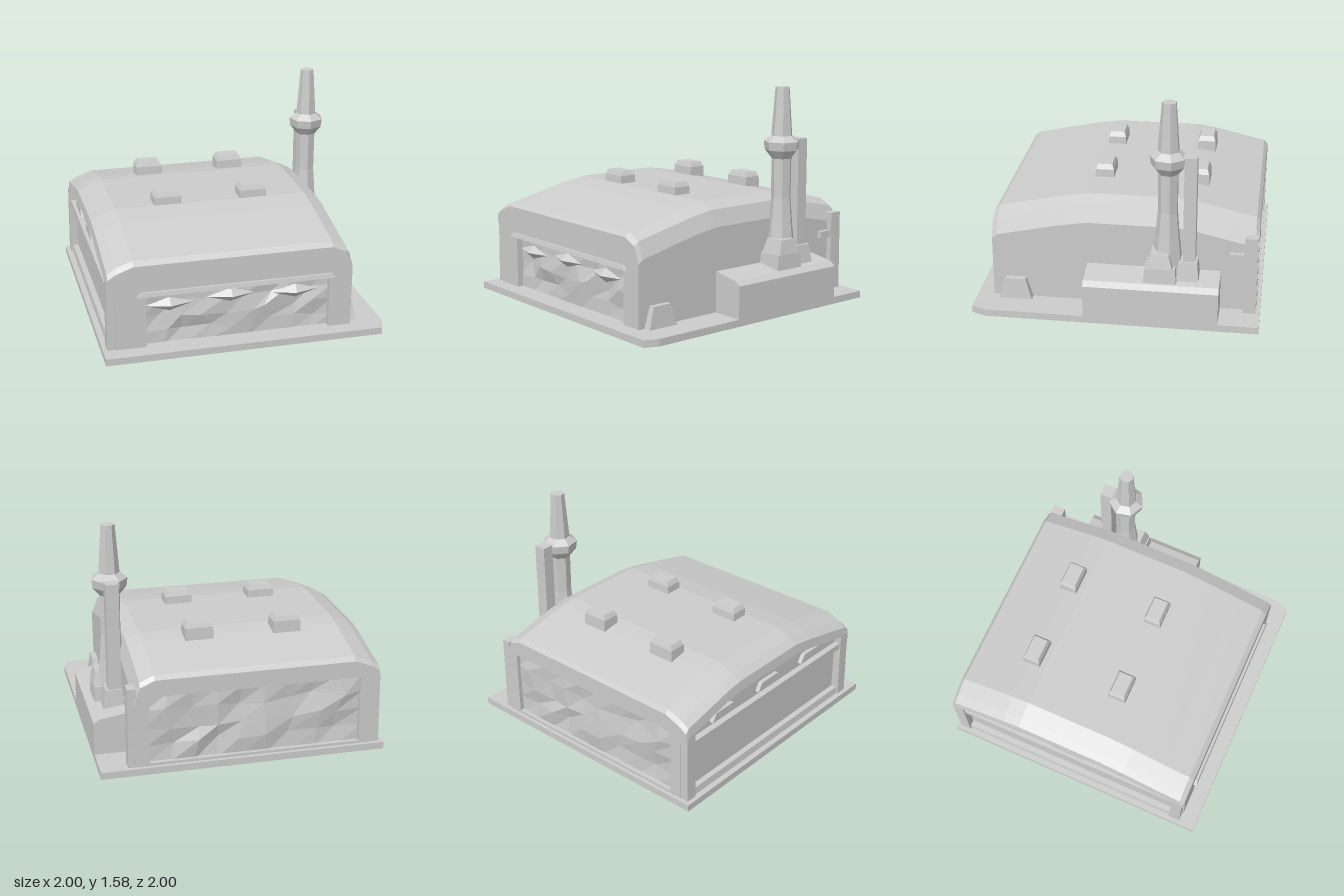
import * as THREE from 'three';

const stone = new THREE.MeshStandardMaterial({ color: 0xcccccc, flatShading: true, side: THREE.DoubleSide });
stone.name = 'pale grey';

// Outline of the hall at roof height t, from lower left over the roof to lower right
const section = t => [
  [-0.91, 0.03], [-0.91, t - 0.18], [-0.965, t - 0.15], [-0.955, t - 0.08], [-0.9, t - 0.045],
  [-0.78, t], [0.62, t], [0.72, t - 0.045], [0.765, t - 0.16], [0.762, 0.03],
];
// Roof height along z, from back to front
const roofLine = [
  [-0.975, 0.67], [-0.95, 0.7], [-0.75, 0.745], [-0.55, 0.79], [-0.42, 0.81], [0.22, 0.81],
  [0.4, 0.78], [0.65, 0.725], [0.85, 0.68], [0.885, 0.65],
];

function loft(sections) {
  const n = sections[0].length, pos = sections.flat(2), index = [];
  for (let i = 0; i < sections.length - 1; i++) {
    for (let j = 0; j < n - 1; j++) {
      const a = i * n + j, b = a + 1, d = a + n, c = d + 1;
      index.push(a, d, b, b, d, c);
    }
  }
  const g = new THREE.BufferGeometry();
  g.setAttribute('position', new THREE.Float32BufferAttribute(pos, 3));
  g.setIndex(index);
  g.computeVertexNormals();
  return g;
}

// Box between two corners, its top narrowed by factors tx and tz
function block(x0, x1, y0, y1, z0, z1, tx = 1, tz = 1) {
  const g = new THREE.BoxGeometry(x1 - x0, y1 - y0, z1 - z0);
  const p = g.attributes.position;
  for (let i = 0; i < p.count; i++) {
    if (p.getY(i) > 0) p.setXYZ(i, p.getX(i) * tx, p.getY(i), p.getZ(i) * tz);
  }
  g.translate((x0 + x1) / 2, (y0 + y1) / 2, (z0 + z1) / 2);
  g.computeVertexNormals();
  return g;
}

// End wall with a rectangular recess
function endFrame(t, z, depth, x0, x1, y0, y1) {
  const s = new THREE.Shape(section(t).map(([x, y]) => new THREE.Vector2(x, y)));
  s.holes.push(new THREE.Path([[x0, y0], [x1, y0], [x1, y1], [x0, y1]].map(p => new THREE.Vector2(...p))));
  return new THREE.ExtrudeGeometry(s, { depth, bevelEnabled: false }).translate(0, 0, z);
}

// Rough wall panel with uneven facets
function roughPanel(w, h, nx, ny, amount, seed) {
  const rnd = () => ((seed = (seed * 16807) % 2147483647) / 2147483647) - 0.5;
  const g = new THREE.PlaneGeometry(w, h, nx, ny), p = g.attributes.position;
  for (let i = 0; i < p.count; i++) {
    const inside = Math.abs(p.getX(i)) < w / 2 - 0.01 && Math.abs(p.getY(i)) < h / 2 - 0.01;
    if (inside) p.setXYZ(i, p.getX(i) + rnd() * 0.08, p.getY(i) + rnd() * 0.05, rnd() * amount);
  }
  g.computeVertexNormals();
  return g;
}

export function createModel() {
  const model = new THREE.Group();
  model.name = 'factoryHall';
  const add = (name, geometry) => {
    const m = new THREE.Mesh(geometry, stone);
    m.name = name;
    model.add(m);
    return m;
  };

  // Ground slab with a clipped corner
  const slab = new THREE.Shape([[-1, -1], [0.96, -1], [1, -0.9], [1, 1], [-1, 1]].map(p => new THREE.Vector2(...p)));
  add('groundSlab', new THREE.ExtrudeGeometry(slab, { depth: 0.05, bevelEnabled: false }).rotateX(-Math.PI / 2));

  // Hall walls and arched roof
  add('hallAndRoof', loft(roofLine.map(([z, t]) => section(t).map(([x, y]) => [x, y, z]))));
  add('frontFrame', endFrame(0.65, 0.82, 0.065, -0.7, 0.6, 0.045, 0.44));
  add('backFrame', endFrame(0.67, -0.975, 0.06, -0.82, 0.66, 0.07, 0.55));
  add('frontPanel', roughPanel(1.36, 0.44, 9, 4, 0.05, 11)).position.set(-0.05, 0.24, 0.84);
  const back = add('backPanel', roughPanel(1.54, 0.52, 9, 4, 0.05, 29));
  back.position.set(-0.08, 0.31, -0.945);
  back.rotation.y = Math.PI;

  // Front lintel and window hoods
  add('lintel', block(-0.76, 0.64, 0.43, 0.46, 0.84, 0.91, 0.96, 0.8));
  [[-0.53, 0.34], [-0.1, 0.36], [0.36, 0.34]].forEach(([x, y]) => {
    const hood = add('windowHood', new THREE.OctahedronGeometry(1));
    hood.scale.set(0.17, 0.05, 0.05);
    hood.position.set(x, y, 0.85);
  });

  // Left-hand bay: corner posts, rails and small vents
  for (const [z0, z1] of [[0.79, 0.875], [-0.97, -0.89]]) add('cornerPost', block(-0.97, -0.89, 0.04, 0.56, z0, z1, 0.85, 1));
  add('sideRail', block(-0.955, -0.9, 0.44, 0.485, -0.9, 0.82));
  add('sideSill', block(-0.96, -0.9, 0.04, 0.1, -0.9, 0.82, 0.7, 1));
  for (const z of [-0.55, -0.05, 0.45]) add('sideVent', block(-0.94, -0.9, 0.52, 0.58, z - 0.13, z + 0.13, 1, 0.7));

  // Roof vents
  for (const x of [-0.4, 0.23]) {
    for (const z of [-0.53, 0.15]) {
      const base = z < 0 ? 0.77 : 0.79;
      add('roofVent', block(x - 0.1, x + 0.1, base, 0.865, z - 0.068, z + 0.068, 0.98, 0.95));
      add('roofVentCap', block(x - 0.098, x + 0.098, 0.865, 0.9, z - 0.064, z + 0.064, 0.8, 0.8));
    }
  }

  // Side annex with a sloping top
  const annex = new THREE.Shape([[0.74, 0.04], [1, 0.04], [1, 0.28], [0.96, 0.31], [0.74, 0.345]].map(p => new THREE.Vector2(...p)));
  add('annex', new THREE.ExtrudeGeometry(annex, { depth: 0.93, bevelEnabled: false }).translate(0, 0, -0.72));
  add('backButtress', block(0.74, 0.81, 0.04, 0.62, -0.97, -0.88, 0.9, 1));
  add('backLedge', block(0.74, 0.8, 0.44, 0.49, -0.93, -0.78));
  add('frontButtress', block(0.72, 0.82, 0.04, 0.2, 0.6, 0.84, 0.7, 0.6));

  // Chimney, its collar and foot
  const stack = [[0.115, 0.28], [0.1, 0.48], [0.085, 0.62], [0.07, 0.8], [0.072, 1.08], [0.12, 1.14],
    [0.128, 1.2], [0.075, 1.24], [0.05, 1.58], [0, 1.58]].map(p => new THREE.Vector2(...p));
  add('chimney', new THREE.LatheGeometry(stack, 7)).position.set(0.81, 0, -0.355);
  add('chimneyFoot', block(0.75, 0.95, 0.29, 0.42, -0.43, -0.2, 0.9, 0.9));
  add('chimneyElbow', block(0.77, 0.95, 0.42, 0.52, -0.4, -0.22, 0.75, 0.7));

  // Thin flue beside the chimney
  add('flue', block(0.775, 0.865, 0.32, 1.21, -0.55, -0.465));
  add('flueFoot', block(0.75, 0.91, 0.3, 0.45, -0.58, -0.42, 0.7, 0.8));
  add('flueLink', block(0.775, 0.865, 1.14, 1.21, -0.48, -0.4));

  return model;
}
